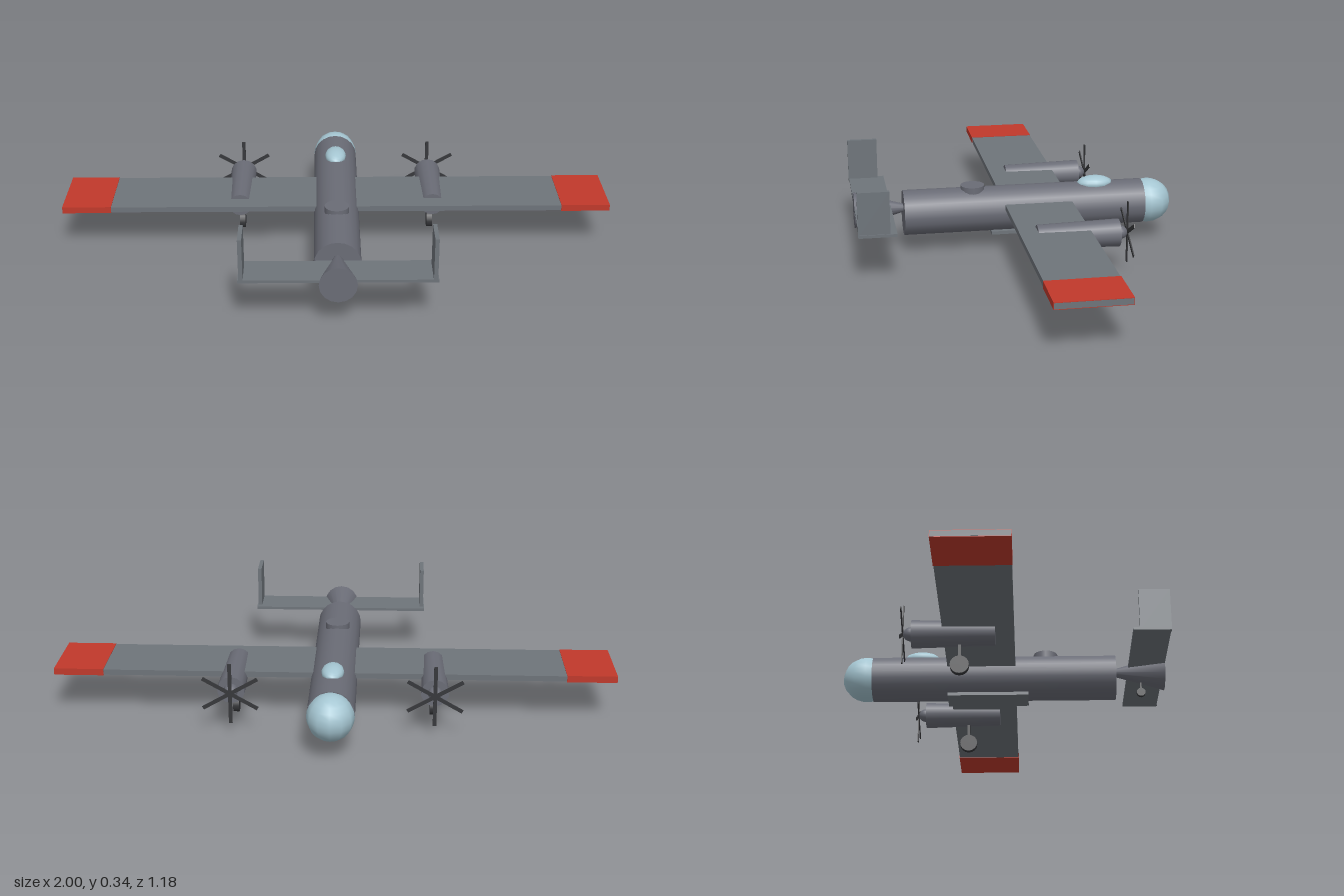
import * as THREE from 'three';

const material = (name, color) => {
  const m = new THREE.MeshStandardMaterial({ color });
  m.name = name;
  return m;
};

export function createModel() {
  const hull = material('hull grey', 0x6a6c76);
  const panel = material('panel grey', 0x6e747a);
  const dark = material('dark rubber', 0x37383b);
  const red = material('tip red', 0xc0392b);
  const glass = material('pale glass', 0xa5c6d2);

  const model = new THREE.Group();
  model.name = 'twinEngineAircraft';

  const add = (name, geometry, mat, x, y, z, parent = model) => {
    const mesh = new THREE.Mesh(geometry, mat);
    mesh.name = name;
    mesh.position.set(x, y, z);
    parent.add(mesh);
    return mesh;
  };
  const box = (w, h, d) => new THREE.BoxGeometry(w, h, d);
  // Cylinder along z: the first radius is at the +z end
  const tubeZ = (rBack, rNose, length, sides) =>
    new THREE.CylinderGeometry(rBack, rNose, length, sides).rotateX(Math.PI / 2);
  const wheel = (r, width) => new THREE.CylinderGeometry(r, r, width, 16).rotateZ(Math.PI / 2);
  const ellipsoid = (rx, ry, rz) => new THREE.SphereGeometry(1, 12, 12).scale(rx, ry, rz);

  // Fuselage, pointing towards -z
  add('fuselage', tubeZ(0.082, 0.082, 0.887, 20), hull, 0, 0.145, -0.032);
  add('noseGlazing', ellipsoid(0.082, 0.082, 0.088), glass, 0, 0.145, -0.499);
  add('cockpitCanopy', ellipsoid(0.04, 0.027, 0.066), glass, 0, 0.223, -0.298);
  add('dorsalTurret', new THREE.CylinderGeometry(0.044, 0.044, 0.03, 16), hull, 0, 0.223, 0.157);
  add('bellyDoor', box(0.1, 0.012, 0.293), panel, 0, 0.064, -0.053);
  add('tailCone', tubeZ(0.065, 0.014, 0.182, 16), hull, 0, 0.164, 0.499);

  // Wing and tailplane
  add('wing', box(2, 0.02, 0.247), panel, 0, 0.169, -0.077);
  add('tailplane', box(0.666, 0.01, 0.131), panel, 0, 0.179, 0.524);

  // Tail wheel
  add('tailWheel', wheel(0.016, 0.014), dark, 0, 0.085, 0.504);
  add('tailWheelStrut', box(0.006, 0.04, 0.006), dark, 0, 0.105, 0.504);

  for (const side of [-1, 1]) {
    const label = side > 0 ? 'left' : 'right';
    add(label + 'WingTip', box(0.177, 0.024, 0.25), red, side * 0.911, 0.169, -0.077);
    add(label + 'TailFin', box(0.014, 0.16, 0.11), panel, side * 0.322, 0.255, 0.537);

    // Engine with spinner, propeller and main wheel
    const engine = new THREE.Group();
    engine.name = label + 'Engine';
    engine.position.set(side * 0.355, 0.153, 0);
    model.add(engine);
    add('nacelle', tubeZ(0.042, 0.049, 0.288, 14), hull, 0, 0, -0.163, engine);
    add('spinner', ellipsoid(0.025, 0.025, 0.03), hull, 0, 0, -0.308, engine);
    for (let i = 0; i < 3; i++) {
      const blade = add('propellerBlade', box(0.013, 0.22, 0.004), dark, 0, 0, -0.338, engine);
      blade.rotation.z = (i * Math.PI) / 3;
    }
    add('gearStrut', box(0.01, 0.085, 0.01), dark, 0, -0.078, -0.141, engine);
    add('mainWheel', wheel(0.033, 0.021), dark, 0, -0.12, -0.141, engine);
  }

  return model;
}
